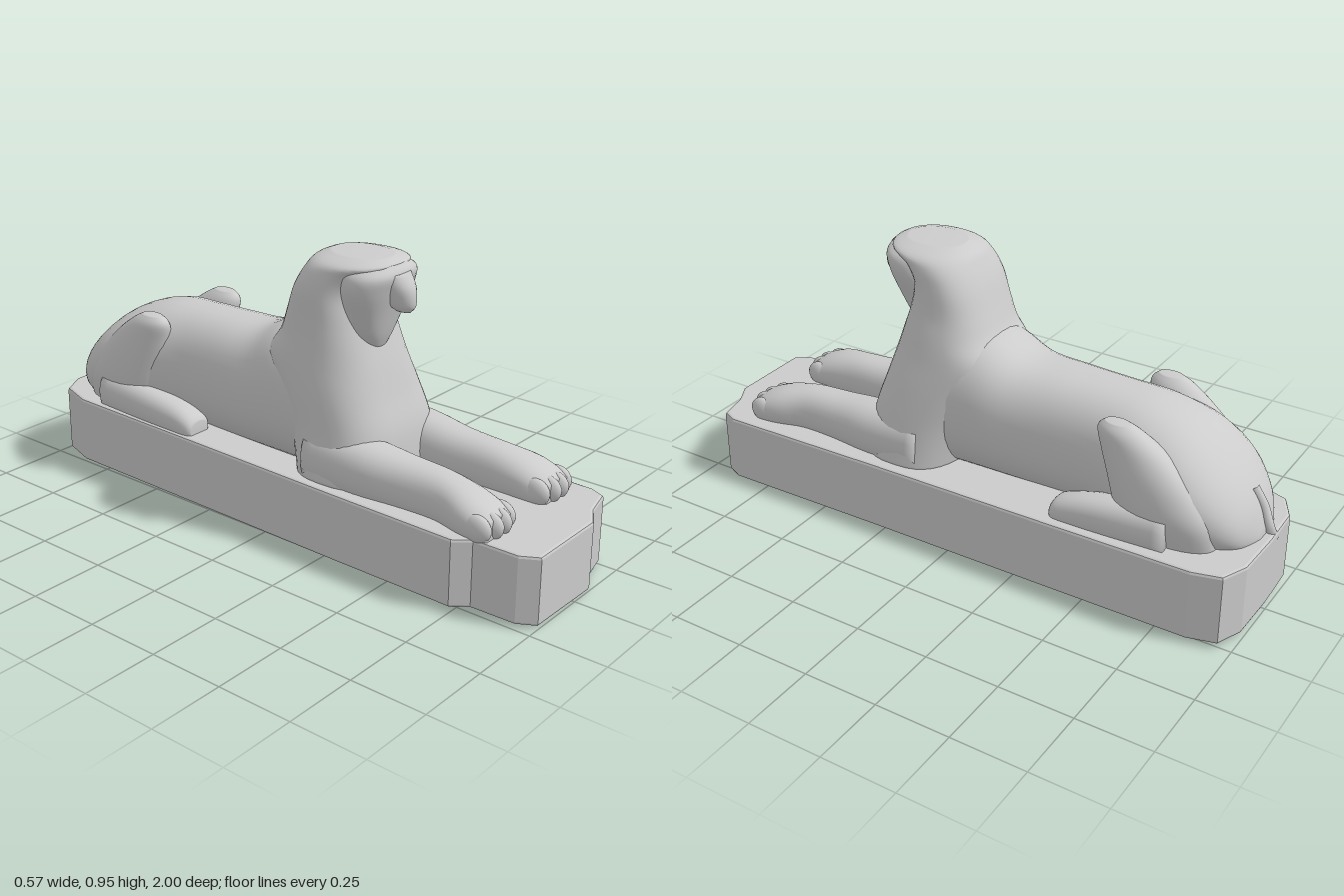
import * as THREE from 'three';

const material = new THREE.MeshStandardMaterial({ color: 0xcccccc, roughness: 0.9 });

// Smooth loft along 'y' or 'z'. Each row: [position, x0, x1, b0, b1, squareness],
// where b is z for a loft along y, and y for a loft along z.
function loft(rows, axis, steps = 5, sides = 36) {
  const spline = (a, b, c, d, t) => 0.5 * (2 * b + (c - a) * t + (2 * a - 5 * b + 4 * c - d) * t * t
    + (3 * b - a - 3 * c + d) * t * t * t);
  const at = (i) => rows[Math.min(rows.length - 1, Math.max(0, i))];
  const rings = [];
  for (let i = 0; i < rows.length - 1; i++) {
    for (let s = 0; s < steps; s++) {
      rings.push(rows[i].map((v, k) => spline(at(i - 1)[k], v, at(i + 1)[k], at(i + 2)[k], s / steps)));
    }
  }
  rings.push(rows[rows.length - 1]);
  // Collapsed end rings close the shape
  const collapse = ([p, x0, x1, b0, b1, n]) => [p, (x0 + x1) / 2, (x0 + x1) / 2, (b0 + b1) / 2, (b0 + b1) / 2, n];
  rings.unshift(collapse(rings[0]));
  rings.push(collapse(rings[rings.length - 1]));

  const pos = [], index = [];
  const power = (v, n) => Math.sign(v) * Math.pow(Math.abs(v), 2 / n);
  for (const [p, x0, x1, b0, b1, n] of rings) {
    for (let j = 0; j < sides; j++) {
      const a = (j / sides) * Math.PI * 2;
      const x = (x0 + x1) / 2 + ((x1 - x0) / 2) * power(Math.cos(a), n);
      const b = (b0 + b1) / 2 + ((b1 - b0) / 2) * power(Math.sin(a), n);
      if (axis === 'y') pos.push(x, p, b); else pos.push(x, b, p);
    }
  }
  for (let i = 0; i < rings.length - 1; i++) {
    for (let j = 0; j < sides; j++) {
      const k = (j + 1) % sides;
      const a = i * sides + j, b = i * sides + k, c = a + sides, d = b + sides;
      if (axis === 'z') index.push(a, b, d, a, d, c); else index.push(a, d, b, a, c, d);
    }
  }
  const geo = new THREE.BufferGeometry();
  geo.setAttribute('position', new THREE.Float32BufferAttribute(pos, 3));
  geo.setIndex(index);
  geo.computeVertexNormals();
  return geo;
}

function add(parent, name, geometry) {
  const mesh = new THREE.Mesh(geometry, material);
  mesh.name = name;
  parent.add(mesh);
  return mesh;
}

function ellipsoid(parent, name, x, y, z, rx, ry, rz) {
  const mesh = add(parent, name, new THREE.SphereGeometry(1, 20, 14));
  mesh.position.set(x, y, z);
  mesh.scale.set(rx, ry, rz);
  return mesh;
}

// Weathered slab: outline in x and z, top rising and base tilting slightly
function plinthGeometry() {
  const outline = [[-0.2, 0.99], [0.08, 0.99], [0.15, 0.95], [0.25, 0.925], [0.27, 0.88], [0.267, 0.3],
    [0.27, -0.3], [0.272, -0.86], [0.25, -0.95], [0.17, -0.985], [0, -0.99], [-0.15, -0.985],
    [-0.23, -0.94], [-0.267, -0.83], [-0.27, -0.3], [-0.275, 0.3], [-0.275, 0.74], [-0.235, 0.79], [-0.23, 0.94]];
  const shape = new THREE.Shape(outline.map(([x, z]) => new THREE.Vector2(x, -z)));
  const geo = new THREE.ExtrudeGeometry(shape, {
    depth: 0.22, bevelEnabled: true, bevelSize: 0.01, bevelThickness: 0.01, bevelSegments: 2,
  });
  geo.rotateX(-Math.PI / 2).translate(0, 0.01, 0);
  const p = geo.attributes.position;
  for (let i = 0; i < p.count; i++) {
    const x = p.getX(i), y = p.getY(i), z = p.getZ(i);
    const top = y / 0.24;
    const base = 0.012 - 0.02 * x - 0.008 * z;
    p.setY(i, base * (1 - top) + top * (0.245 - 0.013 * z));
  }
  geo.computeVertexNormals();
  return geo;
}

export function createModel() {
  const model = new THREE.Group();
  model.name = 'recliningStatue';
  add(model, 'plinth', plinthGeometry());

  // Torso from rump to shoulders
  add(model, 'torso', loft([
    [-0.97, -0.08, 0.02, 0.22, 0.28, 2],
    [-0.93, -0.16, 0.12, 0.21, 0.38, 2.1],
    [-0.85, -0.225, 0.18, 0.2, 0.48, 2.2],
    [-0.74, -0.24, 0.2, 0.2, 0.565, 2.2],
    [-0.6, -0.225, 0.185, 0.2, 0.61, 2.2],
    [-0.45, -0.2, 0.155, 0.21, 0.62, 2.3],
    [-0.3, -0.2, 0.15, 0.21, 0.623, 2.4],
    [-0.15, -0.21, 0.16, 0.21, 0.632, 2.4],
    [0, -0.225, 0.175, 0.21, 0.69, 2.4],
    [0.2, -0.225, 0.18, 0.21, 0.66, 2.4],
  ], 'z'));

  // Chest, neck and headcloth in one rising form
  add(model, 'chestAndHeadcloth', loft([
    [0.23, -0.255, 0.24, 0.06, 0.395, 2.8],
    [0.38, -0.237, 0.215, 0.02, 0.385, 2.8],
    [0.5, -0.232, 0.19, -0.03, 0.35, 2.8],
    [0.6, -0.225, 0.165, -0.08, 0.322, 2.7],
    [0.68, -0.217, 0.145, -0.03, 0.297, 2.6],
    [0.75, -0.213, 0.127, 0, 0.277, 2.6],
    [0.83, -0.212, 0.117, 0.03, 0.265, 2.5],
    [0.89, -0.2, 0.108, 0.06, 0.3, 2.4],
    [0.925, -0.183, 0.088, 0.085, 0.37, 2.3],
    [0.945, -0.125, 0.025, 0.13, 0.33, 2.2],
  ], 'y'));

  // Tapering face with a short hooked beak
  add(model, 'face', loft([
    [0.65, -0.085, 0, 0.2, 0.302, 2.6],
    [0.7, -0.125, 0.025, 0.2, 0.325, 2.5],
    [0.78, -0.16, 0.06, 0.2, 0.352, 2.4],
    [0.85, -0.185, 0.085, 0.2, 0.375, 2.3],
    [0.9, -0.18, 0.08, 0.2, 0.388, 2.3],
    [0.93, -0.14, 0.04, 0.2, 0.37, 2.2],
  ], 'y'));
  add(model, 'beak', loft([
    [0.788, -0.068, -0.04, 0.36, 0.415, 2],
    [0.81, -0.085, -0.02, 0.33, 0.43, 2],
    [0.86, -0.1, -0.005, 0.31, 0.426, 2],
    [0.905, -0.11, 0.005, 0.28, 0.4, 2],
  ], 'y', 5, 20));

  for (const side of [-1, 1]) {
    const label = side > 0 ? 'left' : 'right';
    const limb = new THREE.Group();
    limb.name = label + 'Limbs';
    limb.position.x = side > 0 ? -0.005 : -0.015;
    model.add(limb);
    // Mirror x ranges of rows written for the left side
    const mirror = (rows) => rows.map(([p, x0, x1, ...rest]) => (side > 0 ? [p, x0, x1, ...rest] : [p, -x1, -x0, ...rest]));

    add(limb, label + 'Foreleg', loft(mirror([
      [0.15, 0.08, 0.235, 0.2, 0.4, 2.3],
      [0.35, 0.055, 0.238, 0.2, 0.39, 2.3],
      [0.5, 0.055, 0.218, 0.2, 0.373, 2.3],
      [0.63, 0.06, 0.212, 0.2, 0.364, 2.3],
      [0.73, 0.062, 0.235, 0.2, 0.345, 2.3],
      [0.8, 0.068, 0.238, 0.2, 0.318, 2.3],
      [0.835, 0.085, 0.225, 0.21, 0.295, 2.3],
    ]), 'z', 4, 28));
    for (let i = 0; i < 4; i++) {
      const outer = Math.abs(i - 1.5) > 1;
      ellipsoid(limb, label + 'Toe' + (i + 1), side * (0.09 + i * 0.042), 0.265, outer ? 0.795 : 0.81, 0.025, 0.044, 0.05);
    }

    // Folded hind leg: thigh rising to the knee, with the foot in front
    add(limb, label + 'Haunch', loft(mirror([
      [0.24, 0.06, 0.21, -0.88, -0.56, 2.3],
      [0.34, 0.06, 0.235, -0.87, -0.54, 2.3],
      [0.43, 0.08, 0.235, -0.81, -0.52, 2.2],
      [0.52, 0.1, 0.225, -0.72, -0.495, 2.1],
      [0.58, 0.125, 0.215, -0.64, -0.485, 2],
      [0.608, 0.15, 0.195, -0.59, -0.51, 2],
    ]), 'y', 5, 28));
    const shift = side > 0 ? 0 : 0.04;
    add(limb, label + 'HindFoot', loft(mirror([
      [-0.75, 0.12, 0.25, 0.22, 0.37, 2.3],
      [-0.56, 0.13, 0.257, 0.22, 0.355, 2.4],
      [-0.45 + shift, 0.14, 0.257, 0.22, 0.335, 2.4],
      [-0.38 + shift, 0.145, 0.252, 0.22, 0.31, 2.4],
      [-0.36 + shift, 0.16, 0.24, 0.23, 0.29, 2.2],
    ]), 'z', 4, 24));
  }

  // Short tail hanging at the rump
  const tailPath = new THREE.CatmullRomCurve3([
    [-0.03, 0.4, -0.915], [-0.035, 0.34, -0.95], [-0.03, 0.28, -0.975], [-0.05, 0.23, -0.985],
  ].map((p) => new THREE.Vector3(...p)));
  add(model, 'tail', new THREE.TubeGeometry(tailPath, 16, 0.016, 10));

  // Rough stone left between the forelegs
  ellipsoid(model, 'roughStone', -0.01, 0.235, 0.42, 0.07, 0.035, 0.07);
  return model;
}
